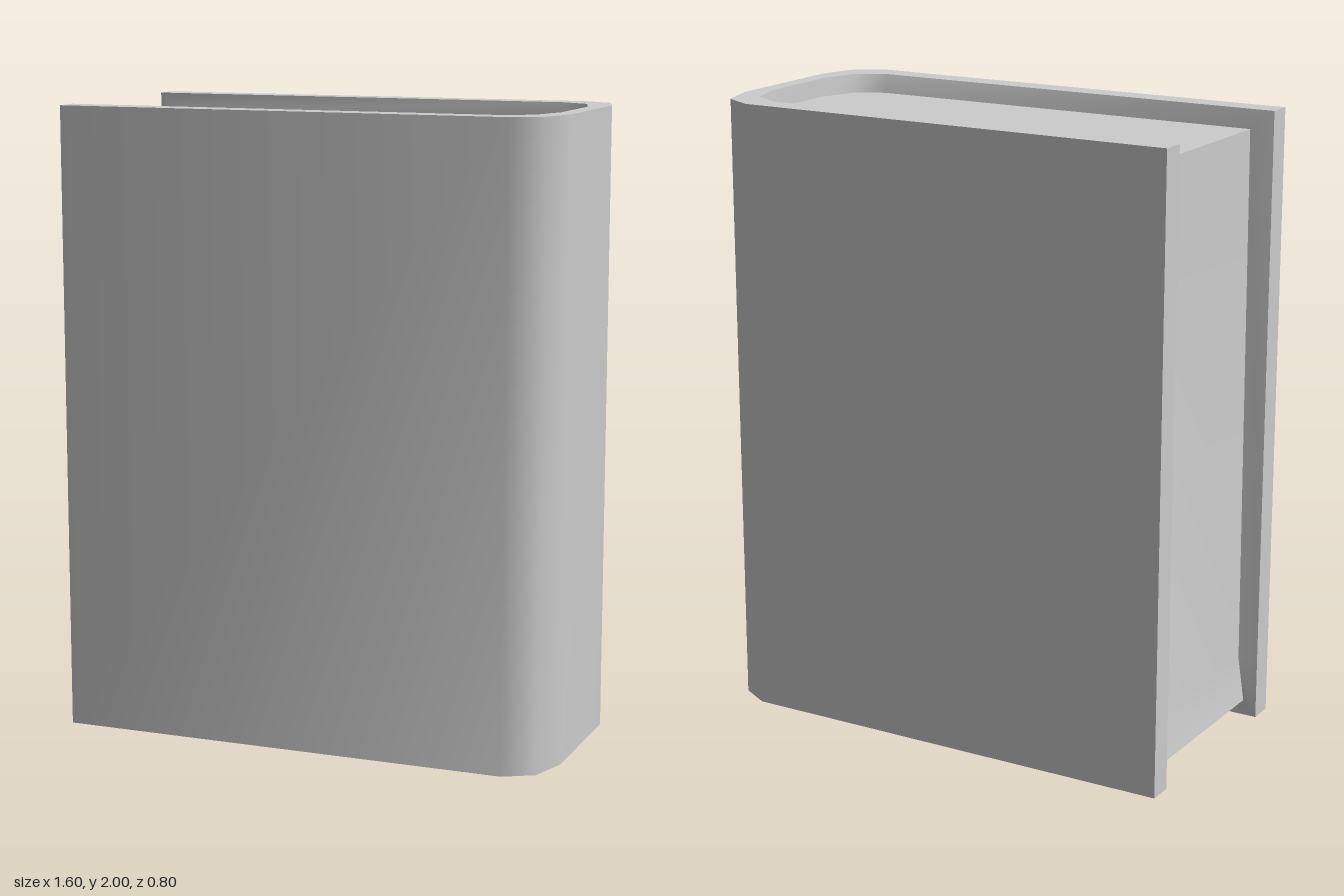
import * as THREE from 'three';
import { toCreasedNormals } from 'three/addons/utils/BufferGeometryUtils.js';

const HEIGHT = 2;

// Half plan profiles [x, z] from the open edge to the spine
const OUTER = [[-0.8, 0.4], [0.665, 0.4], [0.76, 0.347], [0.8, 0.22]];
const INNER = [[-0.8, 0.32], [0.61, 0.32], [0.705, 0.27], [0.745, 0.14]];
const PAGE_REST = [[0.607, 0.304], [0.7, 0.257], [0.743, 0.13]];

// Page edge from top to bottom [x, y, z]: it leans slightly outward
const FORE_EDGE = [[-0.728, 1.94, 0.304], [-0.74, 0.2, 0.306], [-0.76, 0.055, 0.309]];

const flip = ([x, y, z]) => [x, y, -z];
const lift = (profile, y) => profile.map(([x, z]) => [x, y, z]);
// Full U from the back half round the spine to the front half
const around = (half) => [...half.map(flip), ...half.slice().reverse()];

// Quads between two rows of points
function strip(out, a, b) {
  for (let i = 0; i < a.length - 1; i++) {
    out.push(...a[i], ...a[i + 1], ...b[i + 1], ...a[i], ...b[i + 1], ...b[i]);
  }
}

function makeMesh(name, positions) {
  const geometry = new THREE.BufferGeometry();
  geometry.setAttribute('position', new THREE.Float32BufferAttribute(positions, 3));
  const mesh = new THREE.Mesh(
    toCreasedNormals(geometry, 0.95),
    new THREE.MeshStandardMaterial({ color: 0xcccccc })
  );
  mesh.name = name;
  return mesh;
}

export function createModel() {
  const pageTop = [FORE_EDGE[0], ...lift(PAGE_REST, FORE_EDGE[0][1])];
  const pageBottom = [FORE_EDGE[2], ...lift(PAGE_REST, FORE_EDGE[2][1])];

  // Cover: inner lip, rim, outside, lower rim, lower lip
  const cover = [];
  const rings = [
    pageTop, lift(INNER, HEIGHT), lift(OUTER, HEIGHT),
    lift(OUTER, 0), lift(INNER, 0), pageBottom,
  ].map(around);
  for (let i = 0; i < rings.length - 1; i++) strip(cover, rings[i], rings[i + 1]);

  // Board ends and the recess walls beside the page edge
  const edge = ([x, z]) => [HEIGHT, FORE_EDGE[1][1], 0].map((y) => [x, y, z]);
  const outerEdge = edge(OUTER[0]);
  const innerEdge = edge(INNER[0]);
  strip(cover, outerEdge.map(flip), innerEdge.map(flip));
  strip(cover, innerEdge, outerEdge);
  strip(cover, innerEdge.map(flip), FORE_EDGE.map(flip));
  strip(cover, FORE_EDGE, innerEdge);

  // Page block: top, bottom and open edge
  const pages = [];
  strip(pages, pageTop, pageTop.map(flip));
  strip(pages, pageBottom.map(flip), pageBottom);
  strip(pages, FORE_EDGE.map(flip), FORE_EDGE);

  const group = new THREE.Group();
  group.name = 'book';
  group.add(makeMesh('cover', cover), makeMesh('pages', pages));
  return group;
}
